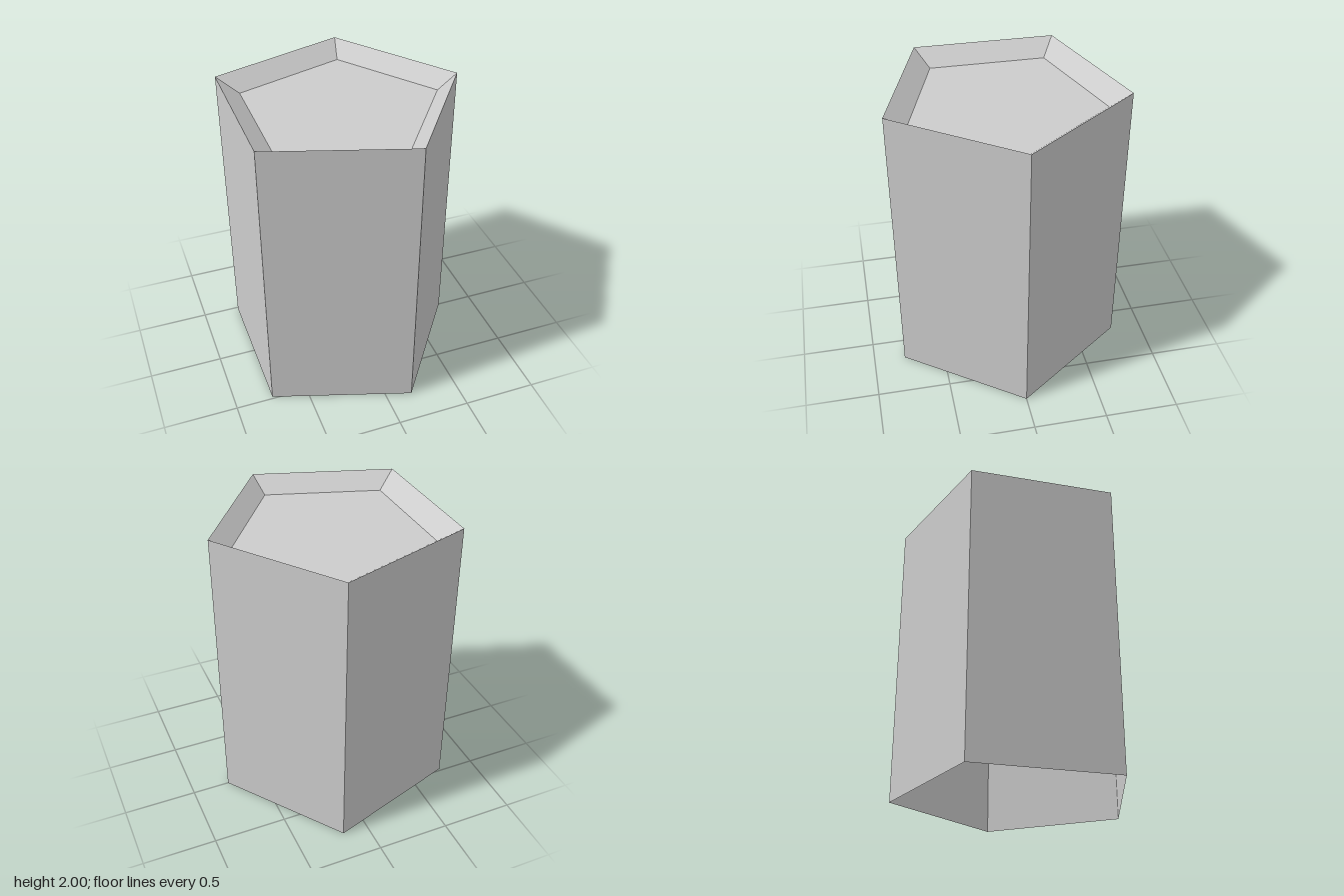
import * as THREE from 'three';

const SIDES = 5;
const OUTER = 0.823; // corner radius of the body
const INNER = 0.675; // corner radius of the recessed floor
const HEIGHT = 2;
const FLOOR = 1.9;

// Five-sided surface from a [radius, y] profile, with one corner on +x.
// Each ring is shifted in proportion to its radius so its extents centre on x = 0.
function pentagonShell(name, profile, material) {
  const points = profile.map(([r, y]) => new THREE.Vector2(r, y));
  const geometry = new THREE.LatheGeometry(points, SIDES, Math.PI / 2);
  const shift = (1 - Math.cos(Math.PI / SIDES)) / 2;
  const p = geometry.attributes.position;
  for (let i = 0; i < p.count; i++) {
    p.setX(i, p.getX(i) - shift * Math.hypot(p.getX(i), p.getZ(i)));
  }
  geometry.computeVertexNormals();
  const mesh = new THREE.Mesh(geometry, material);
  mesh.name = name;
  return mesh;
}

export function createModel() {
  const group = new THREE.Group();
  group.name = 'pentagonalColumn';
  const material = new THREE.MeshStandardMaterial({
    color: 0xcccccc, flatShading: true, side: THREE.DoubleSide,
  });

  group.add(
    // Thin upright walls, open underneath
    pentagonShell('walls', [[OUTER, 0], [OUTER, HEIGHT]], material),
    // Rim sloping inwards down to the recess
    pentagonShell('slopedRim', [[OUTER, HEIGHT], [INNER, FLOOR]], material),
    // Flat floor of the recess
    pentagonShell('recessFloor', [[INNER, FLOOR], [0, FLOOR]], material),
  );
  return group;
}
